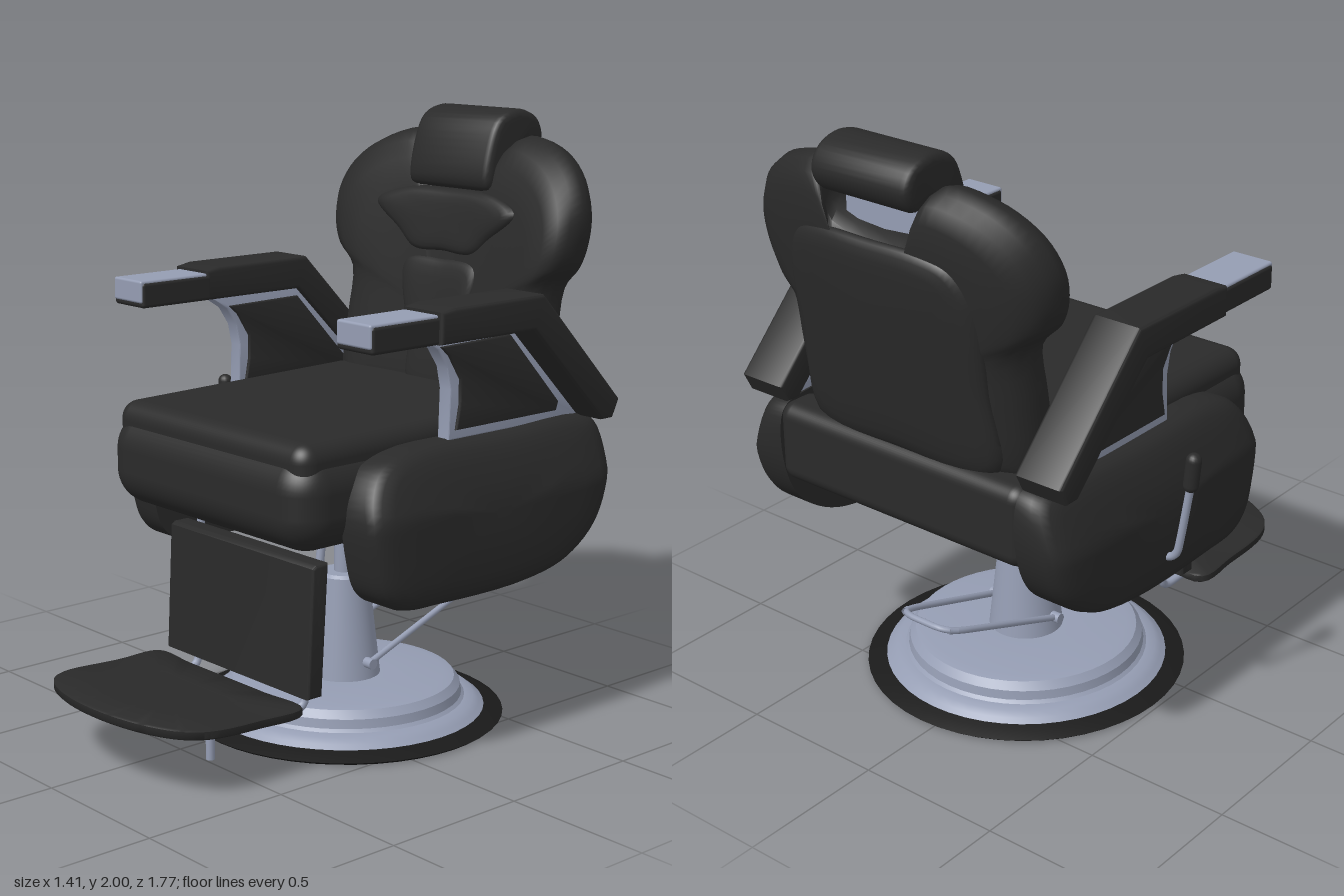
import * as THREE from 'three';
import { toCreasedNormals } from 'three/addons/utils/BufferGeometryUtils.js';
import { RoundedBoxGeometry } from 'three/addons/geometries/RoundedBoxGeometry.js';

const V2 = (x, y) => new THREE.Vector2(x, y);
const V3 = (x, y, z) => new THREE.Vector3(x, y, z);

// Smooth closed outline through a few points
function outline(pts, n) {
  const c = new THREE.CatmullRomCurve3(pts.map(([u, v]) => V3(u, v, 0)), true, 'centripetal');
  return c.getPoints(n).slice(0, n).map((p) => [p.x, p.y]);
}

// Cushion: copies of an outline, scaled about a centre, stacked in depth. layers = [scale, depth]
function cushion(pts, [cu, cv], layers, map) {
  const n = pts.length, pos = [], idx = [];
  for (const [s, d] of layers)
    for (const [u, v] of pts) pos.push(...map(cu + (u - cu) * s, cv + (v - cv) * s, d));
  for (let r = 0; r < layers.length - 1; r++)
    for (let i = 0; i < n; i++) {
      const a = r * n + i, b = r * n + (i + 1) % n;
      idx.push(a, b, b + n, a, b + n, a + n);
    }
  // turn the faces outward if the enclosed volume is negative
  const at = (i) => V3(pos[3 * i], pos[3 * i + 1], pos[3 * i + 2]);
  let vol = 0;
  for (let i = 0; i < idx.length; i += 3) vol += at(idx[i]).dot(at(idx[i + 1]).cross(at(idx[i + 2])));
  if (vol < 0) idx.reverse();
  const g = new THREE.BufferGeometry();
  g.setAttribute('position', new THREE.Float32BufferAttribute(pos, 3));
  g.setIndex(idx);
  return toCreasedNormals(g, 0.9);
}

// Side profile [z, y] extruded between x0 and x1, with a rounded edge
function slab(pts, x0, x1, bevel, creased = 0.6) {
  const g = new THREE.ExtrudeGeometry(new THREE.Shape(pts.map(([z, y]) => V2(-z, y))), {
    depth: x1 - x0 - 2 * bevel, bevelSize: bevel, bevelThickness: bevel, bevelOffset: -bevel,
    bevelSegments: 3, bevelEnabled: bevel > 0,
  });
  g.rotateY(Math.PI / 2).translate(x0 + bevel, 0, 0);
  return toCreasedNormals(g, creased);
}

function rod(pts, r) {
  const path = new THREE.CurvePath();
  const v = pts.map((p) => V3(...p));
  // straight runs with rounded corners
  let last = v[0];
  for (let i = 1; i < v.length - 1; i++) {
    const k = 0.05;
    const a = v[i].clone().add(v[i - 1].clone().sub(v[i]).setLength(k));
    const b = v[i].clone().add(v[i + 1].clone().sub(v[i]).setLength(k));
    path.add(new THREE.LineCurve3(last, a));
    path.add(new THREE.QuadraticBezierCurve3(a, v[i], b));
    last = b;
  }
  path.add(new THREE.LineCurve3(last, v[v.length - 1]));
  return new THREE.TubeGeometry(path, 64, r, 10);
}

export function createModel() {
  const root = new THREE.Group();
  const chair = new THREE.Group();
  chair.name = 'chair';
  chair.position.x = 0.05;
  root.add(chair);
  const mat = (name, color, side = THREE.FrontSide) => Object.assign(new THREE.MeshStandardMaterial({ color, side }), { name });
  const leather = mat('black leather', 0x2a2a2a);
  const metal = mat('grey metal', 0x959db3, THREE.DoubleSide);
  const rubber = mat('black rubber', 0x1a1a1a, THREE.DoubleSide);
  const add = (name, geo, m, x = 0, y = 0, z = 0) => {
    const mesh = new THREE.Mesh(geo, m);
    mesh.name = name;
    mesh.position.set(x, y, z);
    chair.add(mesh);
    return mesh;
  };
  const lathe = (pts) => toCreasedNormals(new THREE.LatheGeometry(pts.map(([r, y]) => V2(r, y)), 48), 0.5);

  // Base, column and piston
  const pz = -0.16;
  add('baseRubberRing', lathe([[0.44, 0.004], [0.53, 0], [0.54, 0.008], [0.5, 0.022], [0.44, 0.035]]), rubber, 0, 0, pz);
  add('baseDome', lathe([[0.48, 0.024], [0.46, 0.04], [0.44, 0.055], [0.41, 0.06], [0.4, 0.07], [0.395, 0.1],
    [0.375, 0.125], [0.34, 0.132], [0.125, 0.132]]), metal, 0, 0, pz);
  add('column', lathe([[0.125, 0.13], [0.085, 0.475], [0.075, 0.485], [0.03, 0.485]]), metal, 0, 0, pz);
  add('piston', new THREE.CylinderGeometry(0.032, 0.032, 0.26, 24), metal, 0, 0.6, pz);
  add('mountDisc', new THREE.CylinderGeometry(0.17, 0.17, 0.02, 36), metal, 0, 0.725, pz);

  // Pump pedal: bent loop hinged on the column
  add('pumpPedal', rod([[0.13, 0.19, pz], [0.11, 0.35, -0.62], [0.09, 0.365, -0.67], [-0.09, 0.365, -0.67],
    [-0.11, 0.35, -0.62], [-0.13, 0.19, pz]], 0.011), metal);
  add('pedalAxle', new THREE.CylinderGeometry(0.018, 0.018, 0.3, 16).rotateZ(Math.PI / 2), metal, 0, 0.19, pz);

  // Seat
  add('seatBody', new RoundedBoxGeometry(1.0, 0.31, 1.23, 6, 0.12), leather, 0, 0.885, -0.155);
  const top = new RoundedBoxGeometry(0.94, 0.16, 1.02, 6, 0.06);
  top.rotateX(0.02);
  add('seatCushion', top, leather, 0, 1.005, -0.08);
  add('rearBand', new RoundedBoxGeometry(1.0, 0.27, 0.16, 5, 0.05), leather, 0, 0.9, -0.705);

  // Backrest: gently bowed cushion with a notch for the headrest
  const spine = (x, y) => -0.64 - 0.155 * (y - 1) + 0.23 * x * x;
  const half = [[0.42, 1.0], [0.45, 1.06], [0.455, 1.25], [0.46, 1.44], [0.53, 1.52], [0.56, 1.6], [0.56, 1.7],
    [0.51, 1.8], [0.4, 1.88], [0.24, 1.915], [0.205, 1.89], [0.175, 1.77]];
  const backPts = [...half, ...half.map(([x, y]) => [-x, y]).reverse()];
  const soft = [[0, 1], [0.25, 1], [0.5, 0.98], [0.7, 0.94], [0.84, 0.85], [0.93, 0.68], [0.98, 0.4], [1, 0]];
  const both = [...soft, ...soft.slice(0, -1).reverse().map(([s, d]) => [s, -d])];
  add('backrest', cushion(outline(backPts, 96), [0, 1.3], both,
    (x, y, d) => [x, y, spine(x, y) + 0.12 * d]), leather);
  const pad = (name, pts, c, offset, depth) => add(name, cushion(outline(pts, 64), c, both,
    (x, y, d) => [x, y, spine(x, y) + offset + depth * d]), leather);
  pad('neckPad', [[0, 1.52], [0.14, 1.52], [0.22, 1.58], [0.33, 1.67], [0.22, 1.72], [0, 1.73],
    [-0.22, 1.72], [-0.33, 1.67], [-0.22, 1.58], [-0.14, 1.52]], [0, 1.63], 0.1, 0.04);
  pad('lumbarPad', [[0.09, 1.06], [0.11, 1.2], [0.17, 1.48], [0, 1.5], [-0.17, 1.48], [-0.11, 1.2], [-0.09, 1.06]],
    [0, 1.28], 0.105, 0.03);
  pad('rearPanel', [[0.36, 1.03], [0.37, 1.3], [0.36, 1.58], [0.3, 1.69], [0.2, 1.72], [0, 1.725], [-0.2, 1.72],
    [-0.3, 1.69], [-0.36, 1.58], [-0.37, 1.3], [-0.36, 1.03], [0, 1.02]], [0, 1.38], -0.1, 0.04);

  // Headrest and its bracket
  const head = outline([[-0.62, 1.75], [-0.635, 1.88], [-0.68, 1.97], [-0.77, 2.0], [-0.86, 1.97], [-0.89, 1.905],
    [-0.85, 1.84], [-0.78, 1.85], [-0.73, 1.82], [-0.7, 1.75], [-0.66, 1.73]], 48);
  add('headrest', slab(head, -0.19, 0.19, 0.025, 0.8), leather);
  add('headrestBracket', new THREE.BoxGeometry(0.3, 0.16, 0.03), metal, 0, 1.79, -0.765);

  for (const s of [1, -1]) {
    const side = s > 0 ? 'left' : 'right';
    const mirrored = (name, pts, a, b, bevel, m) => add(name, slab(pts, Math.min(s * a, s * b), Math.max(s * a, s * b), bevel), m);

    // Bulging side panel, flat on its inner face
    const panel = outline([[0.28, 0.87], [0.22, 0.98], [0.1, 1.025], [-0.3, 1.03], [-0.74, 1.03], [-0.78, 0.99],
      [-0.78, 0.82], [-0.72, 0.68], [-0.58, 0.58], [-0.38, 0.54], [0, 0.538], [0.16, 0.55], [0.23, 0.6], [0.265, 0.7]], 72);
    add(side + 'SidePanel', cushion(panel, [-0.25, 0.8], [[0, 0.48], [1, 0.48], [1, 0.59], [0.98, 0.615], [0.94, 0.632],
      [0.86, 0.643], [0.7, 0.65], [0.4, 0.652], [0, 0.652]],
    (z, y, x) => [s * (x - (x > 0.5 ? Math.max(0, y - 0.84) * 0.35 : 0)), y, z]), leather);

    // Padded arm sloping down to the back of the seat
    mirrored(side + 'Armrest', [[0.035, 1.36], [0.035, 1.46], [-0.02, 1.47], [-0.41, 1.47], [-0.78, 1.09], [-0.75, 1.03],
      [-0.7, 1.03], [-0.37, 1.36]], 0.475, 0.65, 0.012, leather);
    add(side + 'ArmTip', new RoundedBoxGeometry(0.16, 0.085, 0.29, 3, 0.012), leather, s * 0.555, 1.4025, 0.16);
    add(side + 'ArmTipCap', new RoundedBoxGeometry(0.15, 0.075, 0.28, 3, 0.008), metal, s * 0.555, 1.414, 0.17);

    // Metal arm frame with an upholstered infill
    mirrored(side + 'ArmFrame', [[0.01, 1.365], [-0.06, 1.32], [-0.1, 1.26], [-0.115, 1.19], [-0.11, 1.03], [-0.71, 1.03],
      [-0.71, 1.06], [-0.4, 1.37]], 0.487, 0.537, 0.004, metal);
    mirrored(side + 'ArmInfill', [[-0.065, 1.33], [-0.1, 1.3], [-0.15, 1.22], [-0.15, 1.14], [-0.135, 1.06], [-0.59, 1.06],
      [-0.6, 1.09], [-0.37, 1.335]], 0.477, 0.547, 0.006, leather);

    // Footrest tube and stub foot
    add(side + 'FootrestTube', rod([[s * 0.3, 0.75, 0.2], [s * 0.3, 0.62, 0.215], [s * 0.27, 0.165, 0.25],
      [s * 0.27, 0.175, 0.65]], 0.014), metal);
    add(side + 'FootrestStub', new THREE.CylinderGeometry(0.014, 0.014, 0.1, 12), metal, s * 0.27, 0.145, 0.63);
  }

  // Calf pad and curved foot plate
  add('calfPad', slab([[0.32, 0.235], [0.3, 0.655], [0.285, 0.665], [0.235, 0.665], [0.26, 0.235]], -0.35, 0.37, 0.01), leather);
  const plate = [[0.37, 0.335], [0.375, 0.5], [0.37, 0.7], [0.33, 0.78], [0.24, 0.84], [0.12, 0.875]];
  const plateEdge = outline([[0, 0.335], [0.2, 0.335], ...plate, [0, 0.885], ...plate.map(([x, z]) => [-x, z]).reverse(), [-0.2, 0.335]], 80);
  add('footPlate', cushion(plateEdge, [0, 0.58], [[0, 0.015], [0.5, 0.015], [0.98, 0.015], [1, 0.01], [1, -0.012],
    [0.98, -0.018], [0.5, -0.018], [0, -0.018]],
  (x, z, d) => [x - 0.01, 0.203 + 0.13 * Math.max(0, z - 0.38) ** 2 + d, z]), leather);

  // Recline lever on the right side
  add('reclineLever', rod([[-0.57, 0.645, -0.25], [-0.68, 0.645, -0.25], [-0.7, 0.75, -0.25], [-0.73, 0.93, -0.25]], 0.013), metal);
  const grip = add('leverGrip', new THREE.CapsuleGeometry(0.025, 0.085, 6, 16), leather, -0.733, 0.965, -0.25);
  grip.rotation.z = 0.1;

  return root;
}
